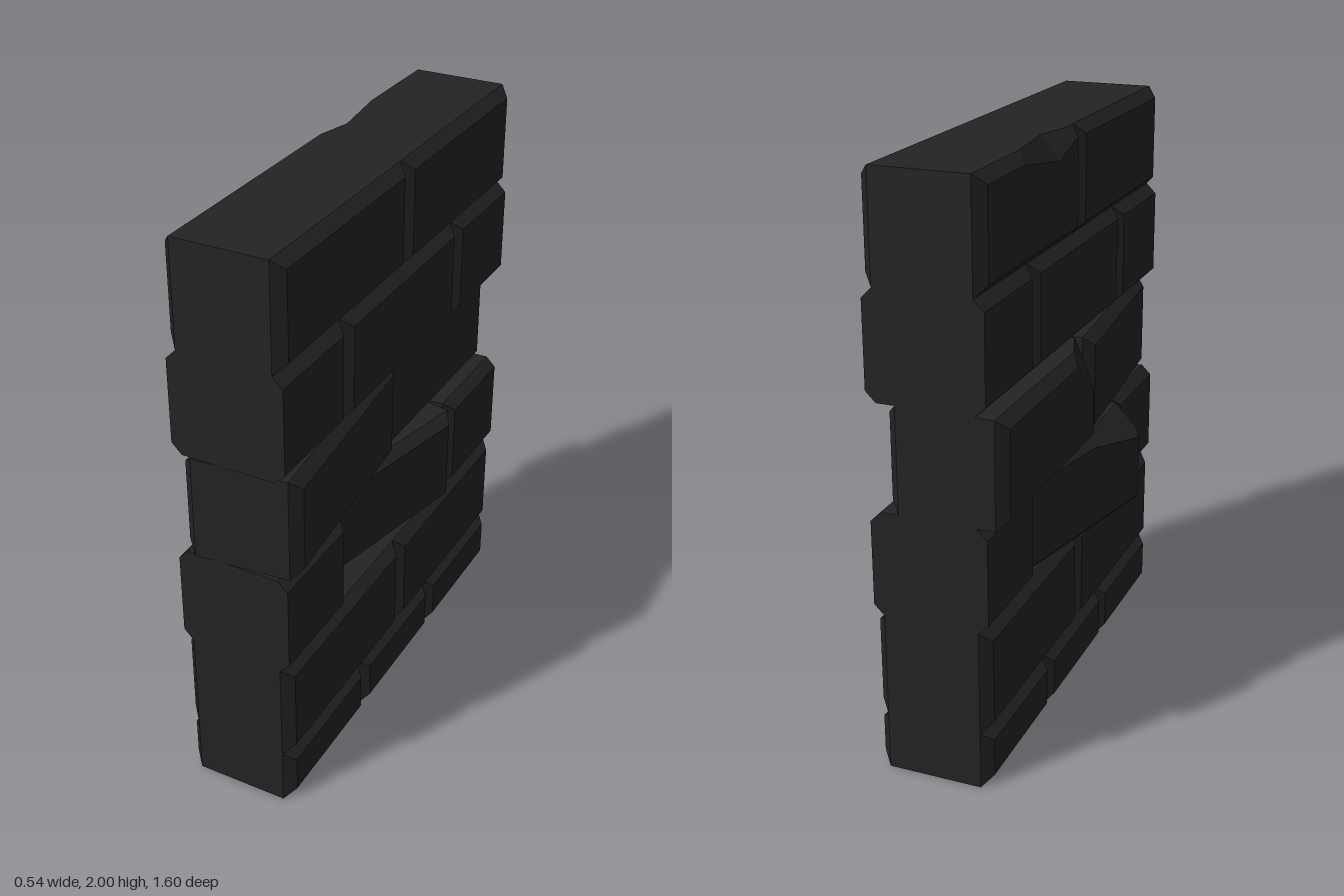
import * as THREE from 'three';
import { ConvexGeometry } from 'three/addons/geometries/ConvexGeometry.js';

const V = (x, y, z) => new THREE.Vector3(x, y, z);
const X = 0.043, HX = 0.197, BEVEL = 0.035, BACK = -0.8, FRONT = 0.79;

// Corner points of a brick whose two broad faces are chamfered;
// ends cut off at the wall's edge stay flat.
function brickPoints({ y0, y1, z0, z1, flatBack, flatFront, x = X, dz = 0, turn = 0 }) {
  const hy = (y1 - y0) / 2, hz = (z1 - z0) / 2, pts = [];
  for (const sx of [-1, 1]) for (const sy of [-1, 1]) for (const sz of [-1, 1]) {
    const flat = sz < 0 ? flatBack : flatFront;
    pts.push(V(sx * (HX - BEVEL), sy * hy, sz * hz));
    pts.push(V(sx * HX, sy * (hy - BEVEL), sz * (hz - (flat ? 0 : BEVEL))));
  }
  const place = V(x, (y0 + y1) / 2, (z0 + z1) / 2 + dz);
  return pts.map(p => p.applyAxisAngle(V(0, 1, 0), turn).add(place));
}

// Break off the part of a convex brick beyond the plane a-b-c, keeping the side of "keep"
function chip(pts, a, b, c, keep) {
  const plane = new THREE.Plane().setFromCoplanarPoints(a, b, c);
  if (plane.distanceToPoint(keep) < 0) plane.negate();
  const dist = pts.map(p => plane.distanceToPoint(p));
  const out = pts.filter((p, i) => dist[i] >= 0);
  pts.forEach((p, i) => pts.forEach((q, j) => {
    if (dist[i] > 1e-6 && dist[j] < -1e-6) out.push(p.clone().lerp(q, dist[i] / (dist[i] - dist[j])));
  }));
  return out;
}

export function createModel() {
  const wall = new THREE.Group();
  wall.name = 'brickWall';
  const stone = new THREE.MeshStandardMaterial({ color: 0x232323 });
  stone.name = 'darkStone';

  const add = (name, pts) => {
    const mesh = new THREE.Mesh(new ConvexGeometry(pts), stone);
    mesh.name = name;
    wall.add(mesh);
  };

  // Courses from the ground up: heights and the joints between bricks
  const halves = [BACK, -0.4, 0.395, FRONT], pair = [BACK, -0.005, FRONT];
  const courses = [
    { y0: 0, y1: 0.2, joints: [BACK, -0.27, 0.26, FRONT] },
    { y0: 0.2, y1: 0.56, joints: pair },
    { y0: 0.56, y1: 0.92, joints: halves, flat: true },
    { y0: 0.92, y1: 1.28, joints: pair },
    { y0: 1.28, y1: 1.64, joints: halves, flat: true },
    { y0: 1.64, y1: 2, joints: pair },
  ];

  // Bricks knocked out of line, keyed by course and position
  const loose = {
    '2-1': { x: -0.003, dz: -0.012, turn: -0.21 },
    '3-0': { x: X - 0.062 },
    '3-1': { turn: 0.09, x: 0.04, dz: -0.004 },
  };

  courses.forEach(({ y0, y1, joints, flat }, row) => {
    const last = joints.length - 2;
    for (let i = 0; i <= last; i++) {
      const key = `${row}-${i}`, z0 = joints[i], z1 = joints[i + 1];
      const centre = V(X, (y0 + y1) / 2, (z0 + z1) / 2);
      let pts = brickPoints({
        y0, y1, z0, z1,
        flatBack: flat && i === 0, flatFront: flat && i === last, ...loose[key],
      });

      // Sloping break on the turned brick
      if (key === '2-1') pts = chip(pts, V(-0.27, 0.825, 0.3), V(-0.16, 0.92, 0.36), V(-0.2, 0.895, -0.05), centre);
      // Broken upper corner of the pushed brick
      if (key === '3-0') pts = chip(pts, V(-0.216, 1.28, -0.24), V(-0.216, 1.08, 0), V(-0.13, 1.28, 0), centre);
      // Notch in the top edge: two pieces that share the bottom of the notch
      if (key === '5-0') {
        const zn = -0.21, tip = V(-0.09, 2, zn), low = V(-0.155, 1.92, zn);
        const split = [V(0, 0, zn), V(1, 0, zn), V(0, 1, zn)];
        const ends = [V(-0.12, 2, -0.45), V(-0.125, 2, -0.06)];
        ends.forEach((end, n) => {
          const keep = V(0.2, 1.7, n ? -0.1 : -0.5);
          add(`notchedBrick${n}`, chip(chip(pts, ...split, keep), tip, low, end, keep));
        });
        continue;
      }
      add(`brick${row}${i}`, pts);
    }
  });
  return wall;
}
